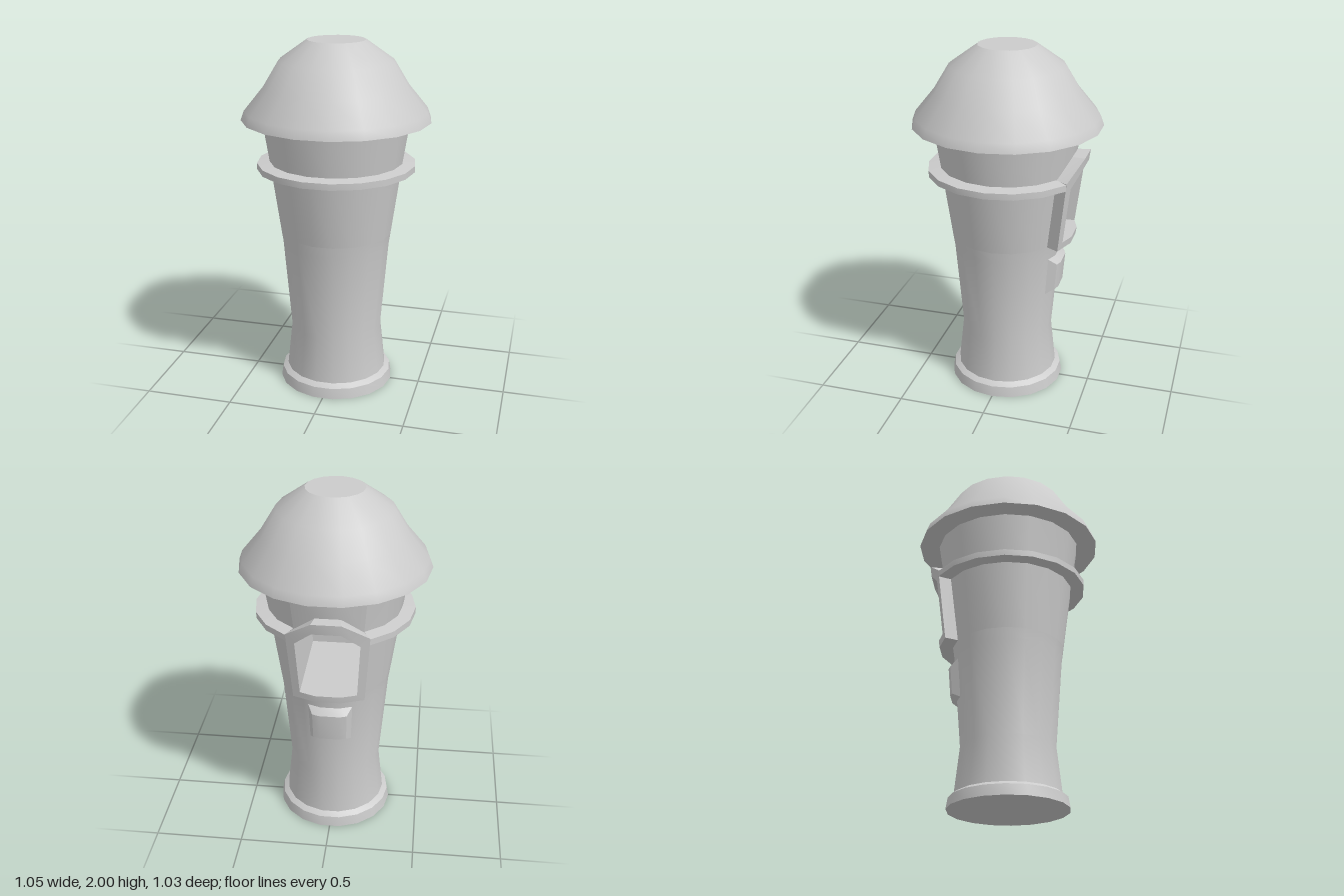
import * as THREE from 'three';
import { toCreasedNormals } from 'three/addons/utils/BufferGeometryUtils.js';

const SIDES = 18;
const rad = THREE.MathUtils.degToRad;
const material = new THREE.MeshStandardMaterial({ color: 0xcccccc });

// Tower wall profile: [radius, height]
const WALL = [[0.29, 0.08], [0.262, 0.34], [0.305, 0.86], [0.314, 0.92], [0.372, 1.33], [0.41, 1.57]];

function wallRadius(y) {
  let i = 0;
  while (i < WALL.length - 2 && y > WALL[i + 1][1]) i++;
  const [r0, y0] = WALL[i], [r1, y1] = WALL[i + 1];
  return r0 + (r1 - r0) * (y - y0) / (y1 - y0);
}

// Point on the 18-sided wall, angle in degrees measured from the back (-z)
function wallPoint(angle, radius, y) {
  const offset = angle - 20 * Math.round(angle / 20);
  const r = radius * Math.cos(rad(10)) / Math.cos(rad(offset));
  return [r * Math.sin(rad(angle)), y, -r * Math.cos(rad(angle))];
}

function mesh(name, geometry) {
  const m = new THREE.Mesh(geometry, material);
  m.name = name;
  return m;
}

// Turned part; "open" leaves out the 60 degrees at the back
function turned(name, profile, open = false) {
  const points = profile.map(([r, y]) => new THREE.Vector2(r, y));
  const geometry = open
    ? new THREE.LatheGeometry(points, 15, rad(210), rad(300))
    : new THREE.LatheGeometry(points, SIDES, rad(90));
  return mesh(name, toCreasedNormals(geometry, 0.55));
}

// Joins successive loops of points; an optional cap closes the last 8-point loop
function skin(name, loops, closed, cap) {
  const positions = [];
  const quad = (a, b, c, d) => [a, b, c, a, c, d].forEach((p) => positions.push(...p));
  for (let k = 0; k < loops.length - 1; k++) {
    const a = loops[k], b = loops[k + 1], n = a.length;
    for (let i = 0; i < (closed ? n : n - 1); i++) {
      const j = (i + 1) % n;
      quad(a[i], b[i], b[j], a[j]);
    }
  }
  if (cap) {
    const e = loops[loops.length - 1];
    for (let i = 0; i < 3; i++) quad(e[i], e[7 - i], e[6 - i], e[i + 1]);
  }
  const geometry = new THREE.BufferGeometry();
  geometry.setAttribute('position', new THREE.Float32BufferAttribute(positions, 3));
  return mesh(name, toCreasedNormals(geometry, 0.4));
}

// Eight [angle, y] corners of a panel bent round the wall
function outline(angle, bottom, shoulder, top) {
  const columns = [-angle, -10, 10, angle];
  return [
    ...columns.map((a) => [a, bottom]),
    [angle, shoulder], [10, top], [-10, top], [-angle, shoulder],
  ];
}

const place = (corners, radiusAt) => corners.map(([a, y]) => wallPoint(a, radiusAt(y), y));

export function createModel() {
  const model = new THREE.Group();
  model.name = 'tower';

  // Foot and wall, with a gap at the back for the window
  model.add(turned('foot', [[0, 0], [0.33, 0], [0.32, 0.06], [0.29, 0.08]]));
  model.add(turned('lowerWall', WALL.slice(0, 4)));
  model.add(turned('upperWall', WALL.slice(3), true));

  // Ledge round the tower, stopping at the window frame
  model.add(turned('ledge', [[0.36, 1.29], [0.443, 1.29], [0.443, 1.325], [0.365, 1.335]], true));

  // Wall above the window
  const lintel = [[-30, 1.33], [-10, 1.42], [10, 1.42], [30, 1.33]];
  model.add(skin('wallAboveWindow', [
    place(lintel, wallRadius),
    place(lintel.map(([a]) => [a, 1.57]), wallRadius),
  ], false));

  // Window frame with a deep recess
  const frameRadius = (y) => 0.39 + (y - 0.92) * 0.135;
  const outer = outline(30, 0.92, 1.33, 1.43);
  const opening = place(outline(23.5, 0.96, 1.285, 1.37), frameRadius);
  model.add(skin('windowFrame', [
    place(outer, (y) => wallRadius(y) - 0.01),
    place(outer, frameRadius),
    opening,
  ], true));
  model.add(skin('windowRecess', [opening, opening.map(([x, y]) => [x, y, 0.2])], true, true));

  // Bevelled plaque below the window
  model.add(skin('plaque', [
    place(outline(25, 0.6, 0.83, 0.83), (y) => wallRadius(y) - 0.003),
    place(outline(17, 0.63, 0.79, 0.79), (y) => wallRadius(y) + 0.036),
  ], true, true));

  // Domed roof with a flat top
  model.add(turned('roof', [
    [0, 1.57], [0.525, 1.57], [0.507, 1.62], [0.4, 1.75], [0.315, 1.89], [0.16, 2], [0, 2],
  ]));

  return model;
}
